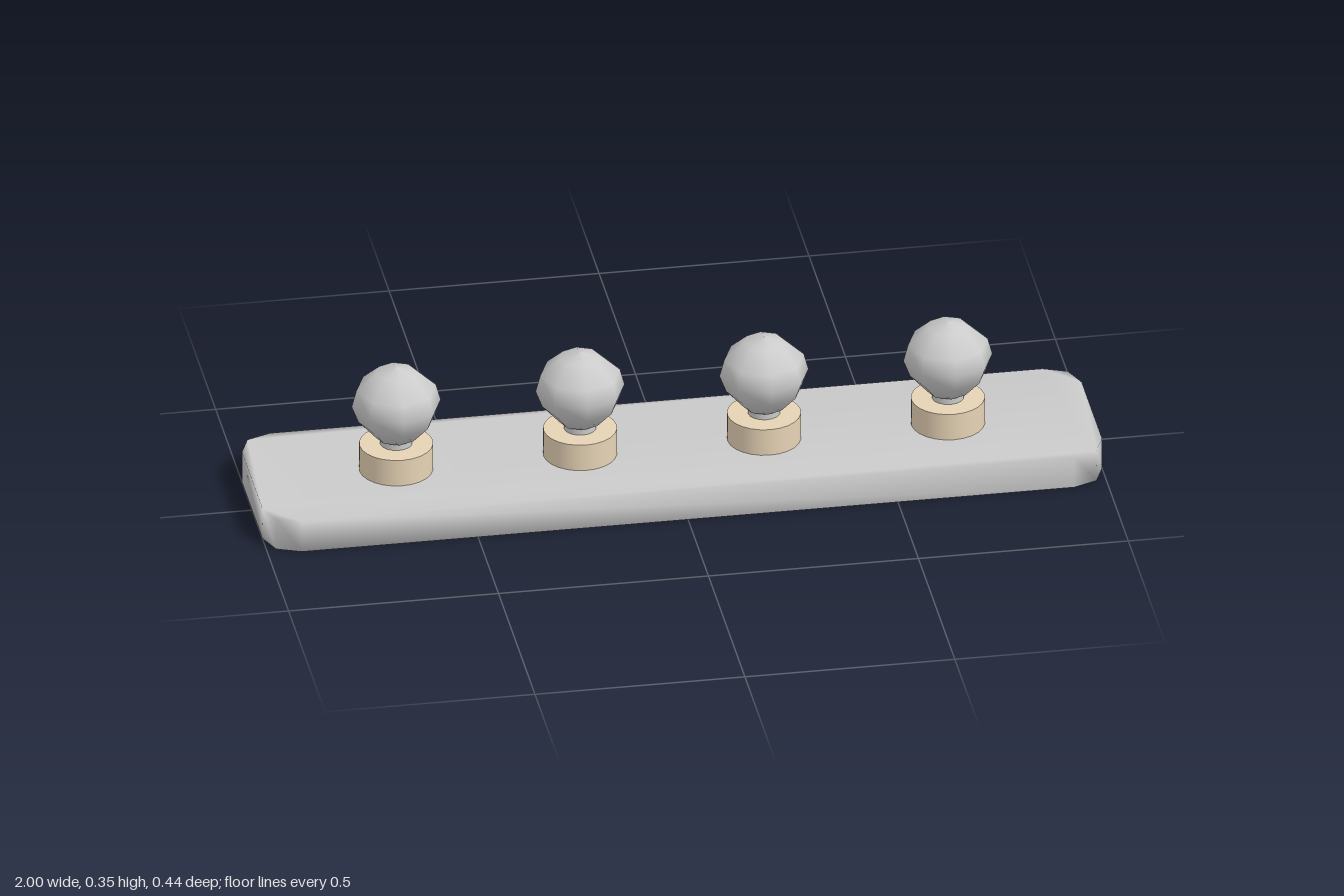
import * as THREE from 'three';
import { mergeVertices } from 'three/addons/utils/BufferGeometryUtils.js';

const PLATE_TOP = 0.08, COLLAR_TOP = 0.148, SPACING = 0.438;

const grey = new THREE.MeshStandardMaterial({ color: 0xcccccc });
const cream = new THREE.MeshStandardMaterial({ color: 0xe6d3b5 });

function addMesh(parent, name, geometry, material, y = 0) {
  const mesh = new THREE.Mesh(geometry, material);
  mesh.name = name;
  mesh.position.y = y;
  parent.add(mesh);
  return mesh;
}

// Flat slab with two-step clipped corners and soft shading over its edges
function plateGeometry() {
  const corner = [[1, 0.14], [0.977, 0.197], [0.92, 0.22]];
  const back = [...corner].reverse();
  const outline = [
    ...corner,
    ...back.map(([x, z]) => [-x, z]),
    ...corner.map(([x, z]) => [-x, -z]),
    ...back.map(([x, z]) => [x, -z]),
  ].map(([x, z]) => new THREE.Vector2(x, z));
  const slab = new THREE.ExtrudeGeometry(new THREE.Shape(outline), { depth: PLATE_TOP, bevelEnabled: false });
  slab.rotateX(-Math.PI / 2);
  slab.deleteAttribute('normal');
  slab.deleteAttribute('uv');
  const smooth = mergeVertices(slab);
  smooth.computeVertexNormals();
  return smooth;
}

// Eight-sided globe bulb
function bulbGeometry() {
  const profile = [
    [0, 0.168], [0.05, 0.168], [0.09, 0.212], [0.106, 0.254],
    [0.095, 0.295], [0.049, 0.337], [0, 0.349],
  ].map(([r, y]) => new THREE.Vector2(r, y));
  return new THREE.LatheGeometry(profile, 8);
}

export function createModel() {
  const model = new THREE.Group();
  model.name = 'vanityLightBar';
  addMesh(model, 'mountingPlate', plateGeometry(), grey);

  const collar = new THREE.CylinderGeometry(0.087, 0.087, COLLAR_TOP - PLATE_TOP, 24);
  const neck = new THREE.CylinderGeometry(0.038, 0.038, 0.05, 16);
  const bulb = bulbGeometry();

  // Row of four lamps
  for (let i = 0; i < 4; i++) {
    const lamp = new THREE.Group();
    lamp.name = `lamp${i + 1}`;
    lamp.position.x = (i - 1.5) * SPACING;
    addMesh(lamp, 'socketCollar', collar, cream, (PLATE_TOP + COLLAR_TOP) / 2);
    addMesh(lamp, 'bulbNeck', neck, grey, 0.155);
    addMesh(lamp, 'bulb', bulb, grey);
    model.add(lamp);
  }
  return model;
}
